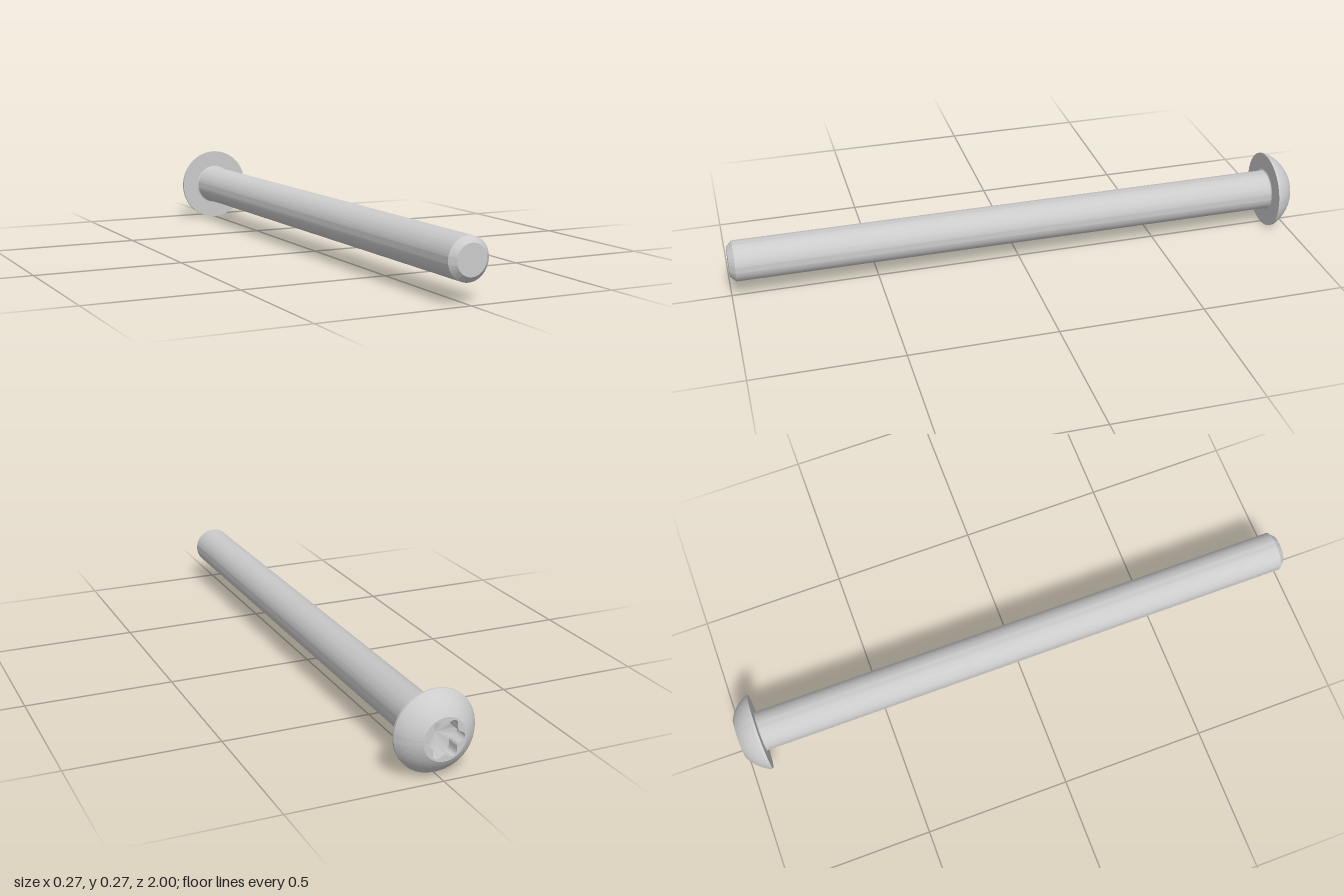
import * as THREE from 'three';
import { toCreasedNormals } from 'three/addons/utils/BufferGeometryUtils.js';

const SEGMENTS = 96;
const AXIS_Y = 0.135;      // height of the screw axis
const SHANK_R = 0.069;
const HEAD_R = 0.133;
const UNDER_HEAD = 0.927;  // position of the bearing face along the axis
const TOP_R = 0.07;        // flat on top of the dome

// Turned part: profile of [radius, position], running from tip to head
function turned(name, profile, material, lobes) {
  const points = profile.map(([r, y]) => new THREE.Vector2(r, y));
  const geometry = new THREE.LatheGeometry(points, SEGMENTS);
  if (lobes) lobes(geometry.attributes.position);
  geometry.rotateX(-Math.PI / 2);
  const mesh = new THREE.Mesh(toCreasedNormals(geometry, 0.42), material);
  mesh.name = name;
  return mesh;
}

// Points along a circular arc
function arc(cx, cy, radius, from, to, steps) {
  return Array.from({ length: steps + 1 }, (_, i) => {
    const a = from + (to - from) * i / steps;
    return [cx + radius * Math.cos(a), cy + radius * Math.sin(a)];
  });
}

export function createModel() {
  const group = new THREE.Group();
  group.name = 'screw';
  const material = new THREE.MeshStandardMaterial({ color: 0xcccccc });

  // Shank with chamfered tip and a small fillet under the head
  const fillet = 0.006;
  group.add(turned('shank', [
    [0, -1], [0.05, -1], [SHANK_R, -0.981],
    ...arc(SHANK_R + fillet, UNDER_HEAD - fillet, fillet, Math.PI, Math.PI / 2, 6),
  ], material));

  // Button head: bearing face, thin rim and spherical dome
  const domeR = 0.1485;
  const domeY = 1 - Math.sqrt(domeR ** 2 - TOP_R ** 2);
  group.add(turned('head', [
    [SHANK_R + fillet, UNDER_HEAD], [HEAD_R, UNDER_HEAD],
    ...arc(0, domeY, domeR, Math.acos(HEAD_R / domeR), Math.acos(TOP_R / domeR), 12),
  ], material));

  // Flat top and six-lobed drive socket with a shallow conical floor
  const socketR = 0.056;
  const shapeLobes = (position) => {
    for (let i = 0; i < position.count; i++) {
      const x = position.getX(i), z = position.getZ(i);
      if (Math.abs(Math.hypot(x, z) - socketR) > 0.001) continue;
      const scale = 1 - 0.155 * Math.cos(6 * Math.atan2(x, z));
      position.setX(i, x * scale);
      position.setZ(i, z * scale);
    }
  };
  group.add(turned('driveSocket', [
    [TOP_R, 1], [socketR, 1], [socketR, 0.952], [0, 0.94],
  ], material, shapeLobes));

  group.position.y = AXIS_Y;
  return group;
}
